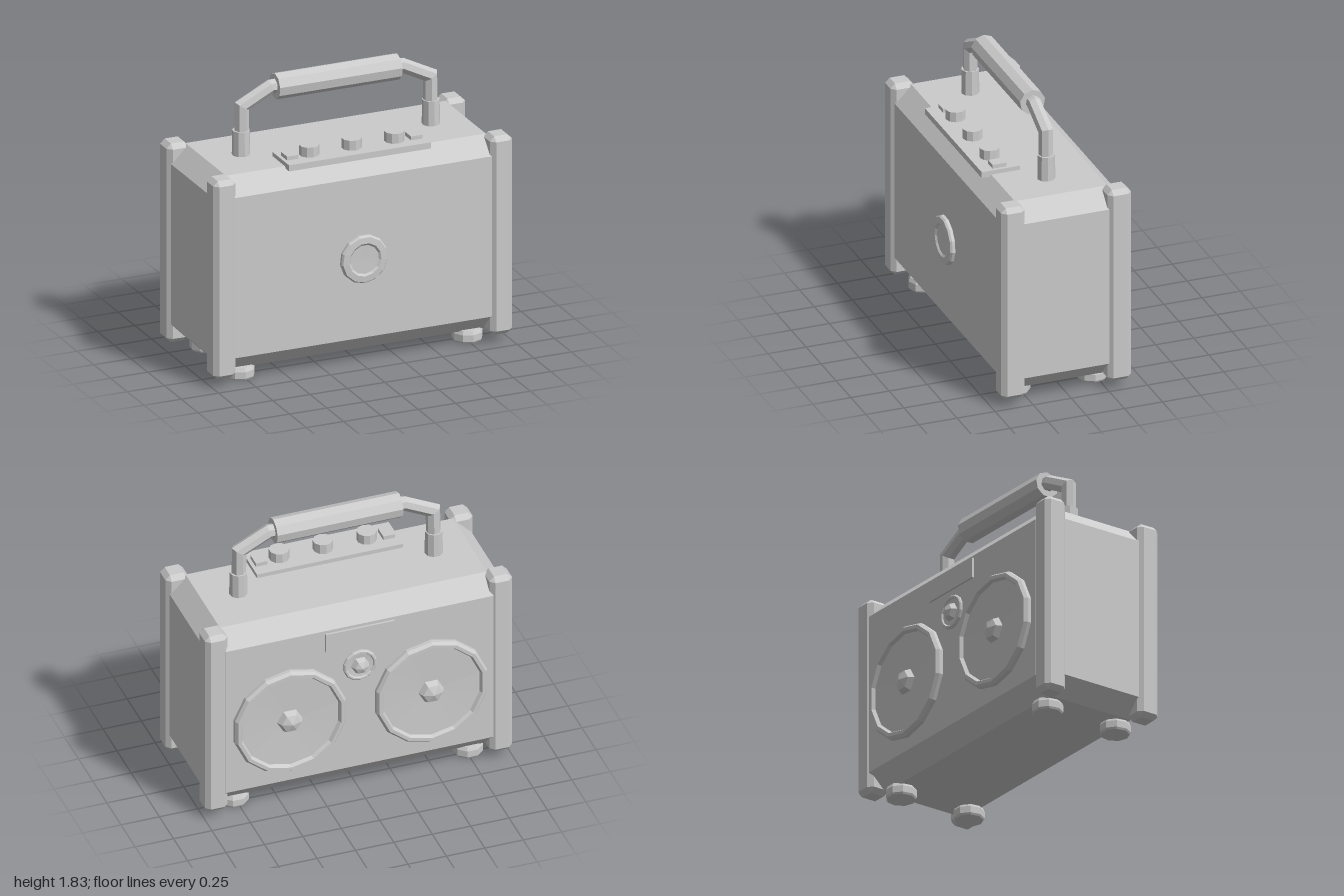
import * as THREE from 'three';
import { ConvexGeometry } from 'three/addons/geometries/ConvexGeometry.js';

const material = new THREE.MeshStandardMaterial({ color: 0xcccccc, flatShading: true, side: THREE.DoubleSide });

// Box with every edge cut flat by c
function chamferBox(w, h, d, c) {
  const points = [];
  const [a, b, e] = [w / 2, h / 2, d / 2];
  for (const sx of [-1, 1]) for (const sy of [-1, 1]) for (const sz of [-1, 1]) {
    points.push(
      new THREE.Vector3(sx * a, sy * (b - c), sz * (e - c)),
      new THREE.Vector3(sx * (a - c), sy * b, sz * (e - c)),
      new THREE.Vector3(sx * (a - c), sy * (b - c), sz * e));
  }
  return new ConvexGeometry(points);
}

const lathe = (profile, sides) =>
  new THREE.LatheGeometry(profile.map(p => new THREE.Vector2(...p)), sides);

export function createModel() {
  const model = new THREE.Group();
  const add = (name, geometry, x, y, z, parent = model) => {
    const mesh = new THREE.Mesh(geometry, material);
    mesh.name = name;
    mesh.position.set(x, y, z);
    parent.add(mesh);
    return mesh;
  };

  // Cabinet
  add('cabinet', chamferBox(1.96, 1.27, 0.825, 0.11), 0, 0.705, 0.017);

  // Corner guards and feet
  const guard = chamferBox(0.148, 1.3, 0.155, 0.03);
  const foot = lathe([[0, 0], [0.09, 0], [0.097, 0.012], [0.097, 0.055], [0.085, 0.08], [0, 0.08]], 9);
  for (const s of [-1, 1]) {
    add('cornerGuardFront', guard, s * 0.926, 0.705, 0.372);
    add('cornerGuardBack', guard, s * 0.926, 0.705, -0.325);
    add('footFront', foot, s * 0.763, 0, 0.28);
    add('footBack', foot, s * 0.763, 0, -0.23);
  }

  // Handle: bent bar, sockets and nine-sided grip
  const handle = new THREE.Group();
  handle.name = 'handle';
  handle.position.z = 0.023;
  model.add(handle);
  const bar = new THREE.CurvePath();
  const bends = [[-0.635, 1.36], [-0.632, 1.655], [-0.44, 1.752], [0.44, 1.752], [0.632, 1.655], [0.635, 1.36]]
    .map(p => new THREE.Vector3(p[0], p[1], 0));
  // Mitred rings at each bend of the bar
  const sides = 7, radius = 0.046, positions = [], index = [];
  bends.forEach((p, i) => {
    const before = p.clone().sub(bends[Math.max(i - 1, 0)]).normalize();
    const after = bends[Math.min(i + 1, bends.length - 1)].clone().sub(p).normalize();
    const t = before.clone().add(after).normalize();
    const stretch = 1 / Math.max(t.dot(i ? before : after), 0.5);
    for (let j = 0; j < sides; j++) {
      const angle = j / sides * Math.PI * 2;
      const n = Math.cos(angle) * radius * stretch;
      positions.push(p.x - t.y * n, p.y + t.x * n, Math.sin(angle) * radius);
      if (i) {
        const k = (j + 1) % sides, a = (i - 1) * sides, b = i * sides;
        index.push(a + j, a + k, b + j, a + k, b + k, b + j);
      }
    }
  });
  const barGeometry = new THREE.BufferGeometry();
  barGeometry.setAttribute('position', new THREE.Float32BufferAttribute(positions, 3));
  barGeometry.setIndex(index);
  barGeometry.computeVertexNormals();
  add('handleBar', barGeometry, 0, 0, 0, handle);
  for (const s of [-1, 1]) {
    add('handleSocket', new THREE.CylinderGeometry(0.055, 0.057, 0.17, 9), s * 0.636, 1.415, 0, handle);
  }
  const grip = new THREE.CylinderGeometry(0.083, 0.083, 0.82, 9);
  grip.rotateY(Math.PI / 2).rotateZ(Math.PI / 2);
  // Put one corner of the grip on top
  if (grip.attributes.position.getY(0) < 0) grip.rotateX(Math.PI);
  add('handleGrip', grip, 0, 1.75, 0, handle);

  // Control panel with knobs and buttons
  add('controlPanel', new THREE.BoxGeometry(0.95, 0.04, 0.25), 0, 1.347, 0.257);
  for (const x of [-0.285, 0, 0.285]) {
    add('knob', new THREE.CylinderGeometry(0.063, 0.063, 0.075, 10), x, 1.394, 0.257);
  }
  for (const s of [-1, 1]) {
    add('button', new THREE.BoxGeometry(0.075, 0.04, 0.09), s * 0.415, 1.372, 0.257);
  }

  // Dished round dial on the front
  const dial = lathe([[0.157, -0.01], [0.157, 0.018], [0.148, 0.03], [0.108, 0.033], [0.095, 0.022], [0, 0.02]], 13);
  dial.rotateX(Math.PI / 2);
  add('frontDial', dial, 0, 0.7, 0.43);

  // Speakers on the back: raised rim, shallow cone and faceted dome
  const speaker = (name, x, y, r, rim, depth, domeRadius, domeDepth) => {
    const group = new THREE.Group();
    group.name = name;
    group.position.set(x, y, -0.395);
    group.rotation.x = -Math.PI / 2;
    model.add(group);
    add('speakerRim', lathe([
      [r, -0.01], [r, depth * 0.55], [r - rim * 0.3, depth], [r - rim * 0.75, depth],
      [r - rim, depth * 0.5], [domeRadius * 0.8, depth * 0.3], [0, depth * 0.3]], 14), 0, 0, 0, group);
    const dome = new THREE.SphereGeometry(1, 6, 2, 0, Math.PI * 2, 0, Math.PI / 2);
    dome.scale(domeRadius, domeDepth, domeRadius);
    add('speakerDome', dome, 0, 0, 0, group);
  };
  for (const s of [-1, 1]) speaker('wooferSpeaker', s * 0.46, 0.632, 0.37, 0.05, 0.045, 0.09, 0.073);
  speaker('tweeterSpeaker', 0, 0.93, 0.11, 0.025, 0.018, 0.062, 0.058);

  // Plain plate above the speakers
  add('backPlate', new THREE.BoxGeometry(0.45, 0.13, 0.03), 0, 1.145, -0.395);

  return model;
}
